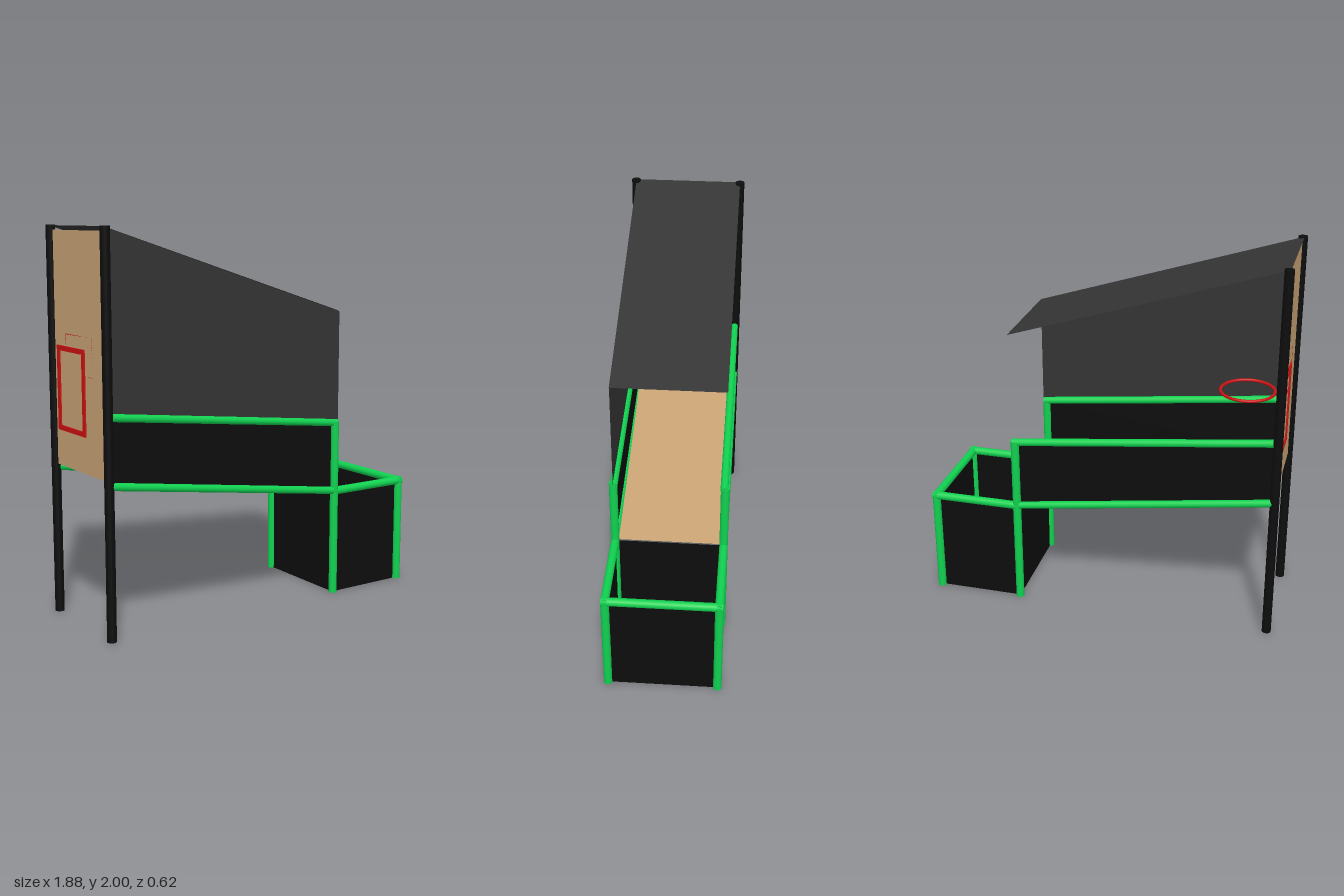
import * as THREE from 'three';

const mat = (name, color, side = THREE.FrontSide) => {
  const m = new THREE.MeshStandardMaterial({ color, side });
  m.name = name;
  return m;
};

export function createModel() {
  const group = new THREE.Group();
  const green = mat('green tube', 0x10d150);
  const black = mat('black panel', 0x0d0d0d, THREE.DoubleSide);
  const gray = mat('dark gray screen', 0x343434, THREE.DoubleSide);
  const tan = mat('tan wood', 0xc8a274, THREE.DoubleSide);
  const red = mat('red paint', 0xcc1212);

  const add = (name, geometry, material) => {
    const mesh = new THREE.Mesh(geometry, material);
    mesh.name = name;
    group.add(mesh);
    return mesh;
  };

  // Round bar between two points
  const bar = (name, a, b, radius, material) => {
    const p = new THREE.Vector3(...a), q = new THREE.Vector3(...b);
    const dir = q.clone().sub(p);
    const mesh = add(name, new THREE.CylinderGeometry(radius, radius, dir.length(), 16), material);
    mesh.position.copy(p).add(q).multiplyScalar(0.5);
    mesh.quaternion.setFromUnitVectors(new THREE.Vector3(0, 1, 0), dir.normalize());
  };

  // Upright sheet in the xy plane
  const sideSheet = (name, points, z, material) => {
    const shape = new THREE.Shape(points.map(([x, y]) => new THREE.Vector2(x, y)));
    add(name, new THREE.ShapeGeometry(shape), material).position.z = z;
  };

  // Sheet across the width, sloping from one xy point to another
  const crossSheet = (name, [x0, y0], [x1, y1], width, material) => {
    const mesh = add(name, new THREE.PlaneGeometry(Math.hypot(x1 - x0, y1 - y0), width).rotateX(-Math.PI / 2), material);
    mesh.position.set((x0 + x1) / 2, (y0 + y1) / 2, 0);
    mesh.rotation.z = Math.atan2(y1 - y0, x1 - x0);
  };

  const R = 0.022, Z = 0.285;
  const BACK = -0.922, MID = 0.452, FRONT = 0.915, TOP = 0.57;

  for (const s of [1, -1]) {
    const z = s * Z;
    // Tall back poles
    bar('backPole', [BACK, 0, z], [BACK, 2, z], 0.024, black);
    // Sloping guard rails and the panel between them
    bar('upperSideRail', [-0.9, 1.102, s * 0.281], [MID + 0.015, 0.944, s * 0.281], 0.02, green);
    bar('lowerSideRail', [-0.93, 0.773, z], [MID, 0.572, z], 0.02, green);
    sideSheet('sidePanel', [[BACK, 0.77], [MID, TOP], [MID, 0.945], [BACK, 1.105]], s * 0.28, black);
    // Ball box frame
    bar('middlePost', [MID, 0, z], [MID, 0.953, z], R, green);
    bar('frontPost', [FRONT, 0, z], [FRONT, TOP + 0.012, z], R, green);
    bar('boxSideRail', [MID, TOP, z], [FRONT + 0.016, TOP, z], R, green);
    sideSheet('boxSide', [[MID, 0], [FRONT, 0], [FRONT, TOP], [MID, TOP]], s * 0.28, black);
  }
  bar('boxFrontRail', [FRONT, TOP, -Z - 0.016], [FRONT, TOP, Z + 0.016], R, green);
  crossSheet('boxFront', [FRONT, 0], [FRONT, TOP], 0.56, black);
  crossSheet('boxBack', [MID, 0], [MID, TOP], 0.56, black);
  crossSheet('boxFloor', [MID, 0.003], [FRONT, 0.003], 0.56, black);

  // Ball ramp, backboard and roof
  crossSheet('ramp', [BACK, 0.79], [MID, 0.578], 0.56, tan);
  crossSheet('backboard', [BACK, 0.79], [BACK, 1.975], 0.55, tan);
  crossSheet('roof', [-0.93, 1.997], [0.473, 1.545], 0.57, gray);

  // Screen on one side only
  sideSheet('sideScreen', [[BACK, 1.105], [0.473, 0.945], [0.473, 1.542], [BACK, 1.993]], 0.284, gray);

  // Painted frames on both faces of the backboard
  const frame = (name, x, y, z, width, height, line) => {
    for (const s of [1, -1]) {
      add(name, new THREE.BoxGeometry(0.008, line, width), red).position.set(x, y + s * (height - line) / 2, z);
      add(name, new THREE.BoxGeometry(0.008, height, line), red).position.set(x, y, z + s * (width - line) / 2);
    }
  };
  frame('targetFrame', BACK + 0.004, 1.363, -0.004, 0.28, 0.21, 0.02);
  frame('rearFrame', BACK - 0.004, 1.19, -0.085, 0.29, 0.43, 0.025);

  // Hoop
  const hoop = add('hoop', new THREE.TorusGeometry(0.14, 0.008, 10, 32), red);
  hoop.rotation.x = Math.PI / 2;
  hoop.position.set(-0.72, 1.25, 0.002);

  return group;
}
